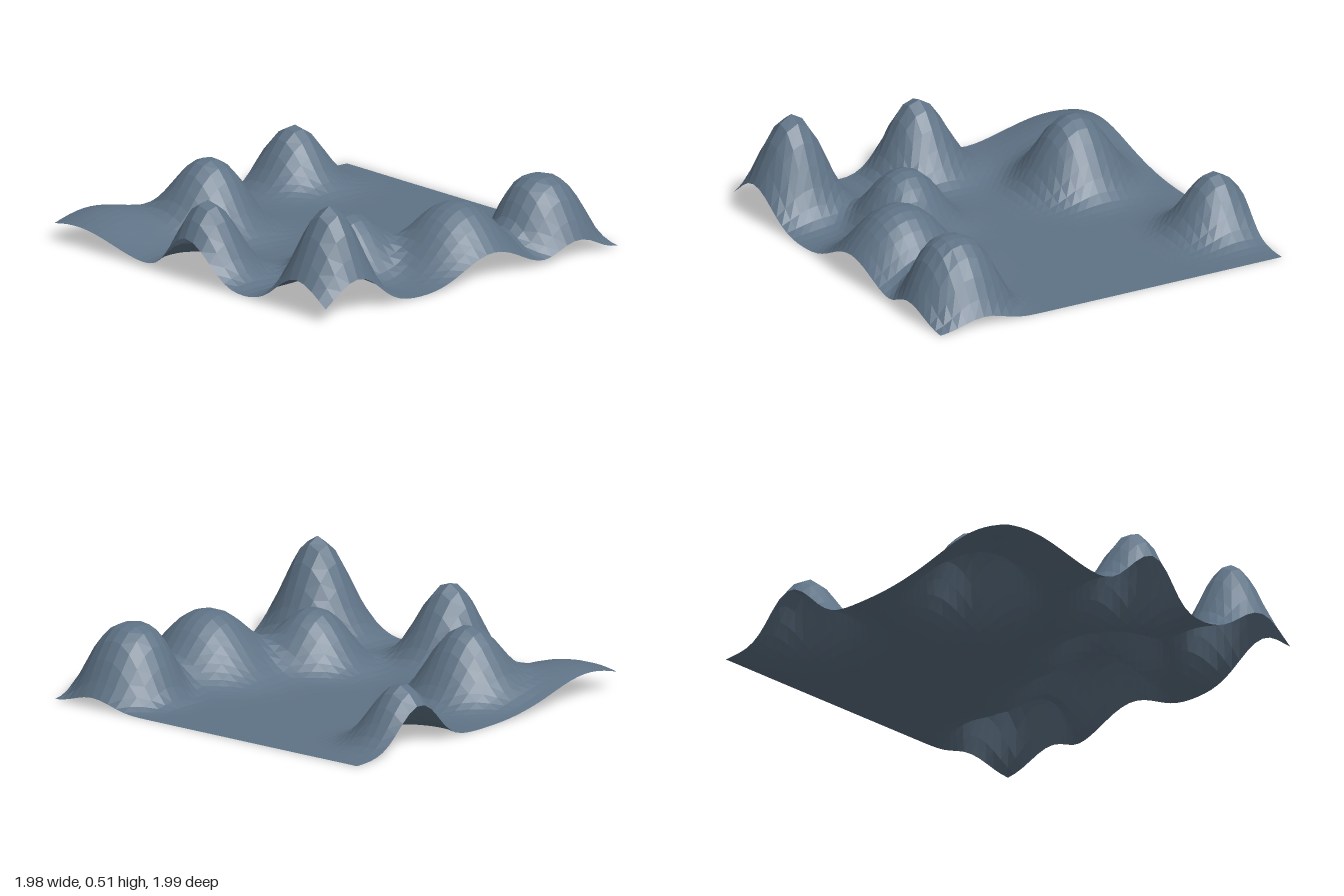
import * as THREE from 'three';

// Hills: centre x, centre z, height, spread, falloff power (2 = bell, 3+ = dome), forward lean
const HILLS = [
  [-0.87, -0.53, 0.31, 0.185, 2, 0],
  [-0.565, 0.305, 0.355, 0.215, 2.3, 0],
  [0.00, 0.825, 0.39, 0.18, 2, 0.03],
  [0.77, 0.76, 0.51, 0.192, 1.9, -0.01],
  [0.40, 0.30, 0.30, 0.212, 2.4, 0],
  [0.70, -0.15, 0.335, 0.275, 2.4, 0],
  [0.72, -0.715, 0.37, 0.218, 3.1, 0.02],
  [-0.82, 0.74, 0.15, 0.36, 2, 0],
];

// Height and forward lean of the ground at a point
function sample(x, z) {
  let height = 0, lean = 0;
  for (const [cx, cz, h, spread, power, forward] of HILLS) {
    const w = Math.exp(-Math.pow(Math.hypot(x - cx, z - cz) / spread, power));
    height += h * w;
    lean += forward * w;
  }
  return { height, lean };
}

export function createModel() {
  const model = new THREE.Group();
  model.name = 'hillyTerrain';

  const slate = new THREE.MeshStandardMaterial({ color: 0x5f7386, flatShading: true, side: THREE.DoubleSide });
  slate.name = 'slate blue';

  // Square sheet raised into hills, its slopes bulging slightly outward
  const sheet = new THREE.PlaneGeometry(1.945, 1.945, 40, 40);
  sheet.rotateX(-Math.PI / 2);
  sheet.translate(-0.007, 0, -0.013);
  const p = sheet.attributes.position;
  const e = 0.005, bulge = 0.01;
  for (let i = 0; i < p.count; i++) {
    const x = p.getX(i), z = p.getZ(i);
    const { height, lean } = sample(x, z);
    const slopeX = (sample(x + e, z).height - sample(x - e, z).height) / (2 * e);
    const slopeZ = (sample(x, z + e).height - sample(x, z - e).height) / (2 * e);
    p.setXYZ(i, x - slopeX * bulge, height, z - slopeZ * bulge + lean);
  }
  sheet.computeVertexNormals();

  const terrain = new THREE.Mesh(sheet, slate);
  terrain.name = 'terrain';
  model.add(terrain);
  return model;
}
